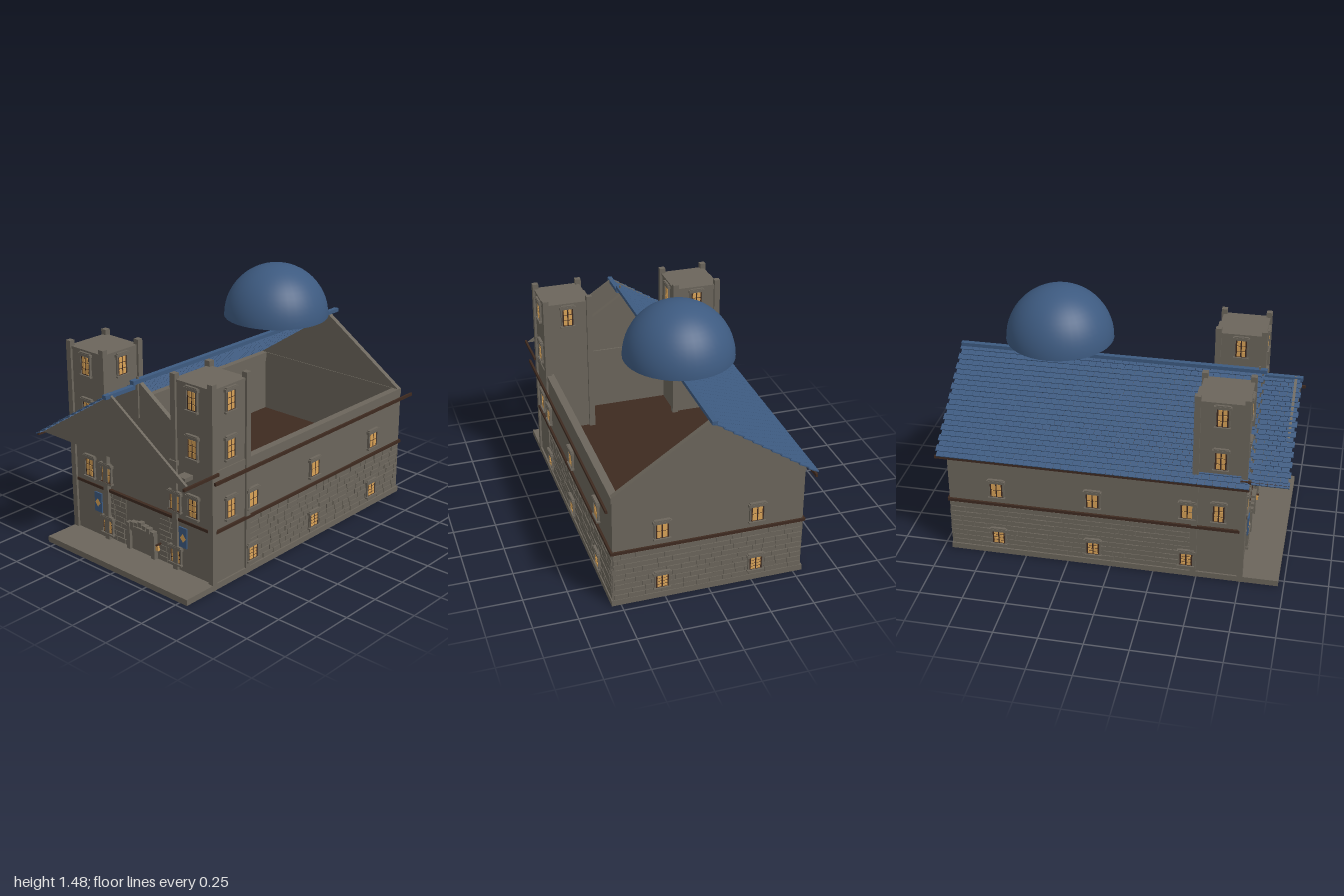
import * as THREE from 'three';
import { mergeGeometries } from 'three/addons/utils/BufferGeometryUtils.js';

const mat = (name, color) => {
  const m = new THREE.MeshStandardMaterial({ color });
  m.name = name;
  return m;
};

// box given by centre and size
const box = (x, y, z, w, h, d) => new THREE.BoxGeometry(w, h, d).translate(x, y, z);
// box given by its limits
const span = (x0, x1, y0, y1, z0, z1) =>
  box((x0 + x1) / 2, (y0 + y1) / 2, (z0 + z1) / 2, x1 - x0, y1 - y0, z1 - z0);

export function createModel() {
  const root = new THREE.Group();
  root.name = 'hall';
  const stone = mat('stone', 0x6b655b);
  const blue = mat('blueTile', 0x3d5a80);
  const wood = mat('darkWood', 0x3e2a20);
  const glow = mat('amberGlass', 0xd8a257);

  const add = (name, material, geos, parent = root) => {
    const mesh = new THREE.Mesh(geos.length > 1 ? mergeGeometries(geos) : geos[0], material);
    mesh.name = name;
    parent.add(mesh);
    return mesh;
  };

  let seed = 7;
  const rnd = () => (seed = (seed * 16807) % 2147483647) / 2147483647;

  // foundation, porch slab and upper floor
  add('foundation', stone, [
    span(-0.55, 0.55, 0.012, 0.03, -0.945, 0.75),
    span(-0.553, 0.553, 0, 0.035, 0.74, 0.968),
    span(-0.553, -0.52, 0, 0.035, -0.95, 0.74), span(0.52, 0.553, 0, 0.035, -0.95, 0.74),
    span(-0.52, 0.52, 0, 0.035, -0.95, -0.915),
  ]);
  add('upperFloor', wood, [span(-0.51, 0.51, 0.28, 0.3, -0.915, 0.705)]);

  // outer walls with a top plate
  add('walls', stone, [
    span(-0.543, -0.508, 0.03, 0.66, -0.945, 0.738), span(0.508, 0.543, 0.03, 0.66, -0.945, 0.738),
    span(-0.508, 0.508, 0.03, 0.69, -0.945, -0.91), span(-0.508, 0.508, 0.03, 0.69, 0.703, 0.738),
    span(-0.547, -0.503, 0.655, 0.69, -0.945, 0.738), span(0.503, 0.547, 0.655, 0.69, -0.945, 0.738),
  ]);

  // gables
  const gable = (name, half, y0, y1, z, depth) => {
    const s = new THREE.Shape([[-half, y0], [half, y0], [0, y1]].map(p => new THREE.Vector2(...p)));
    add(name, stone, [new THREE.ExtrudeGeometry(s, { depth, bevelEnabled: false }).translate(0, 0, z)]);
  };
  gable('backGable', 0.545, 0.688, 1.052, -0.945, 0.03);
  gable('frontGable', 0.545, 0.688, 1.052, 0.712, 0.026);
  gable('porchGable', 0.555, 0.69, 1.055, 0.95, 0.015);

  // rough stone courses on the lower storey
  const bricks = [];
  const course = (len, place) => {
    for (let r = 0; r < 9; r++) {
      const y = 0.052 + r * 0.0325;
      for (let a = -len / 2; a < len / 2 - 0.01;) {
        const w = Math.min(0.05 + rnd() * 0.05, len / 2 - a);
        const g = box(a + w / 2, y, 0, Math.max(w - 0.005, 0.005), 0.028, 0.006 + rnd() * 0.008);
        bricks.push(place(g));
        a += w;
      }
    }
  };
  for (const s of [1, -1]) course(1.4, g => g.rotateY(s * Math.PI / 2).translate(s * 0.543, 0, -0.24));
  course(1.08, g => g.translate(0, 0, -0.945));
  for (const s of [1, -1]) course(0.37, g => g.translate(s * 0.315, 0, 0.738));
  add('stoneCourses', stone, bricks);

  // timber belt between the storeys
  add('timberBelt', wood, [
    span(-0.556, -0.54, 0.333, 0.35, -0.953, 0.735), span(0.54, 0.556, 0.333, 0.35, -0.953, 0.735),
    span(-0.55, 0.55, 0.333, 0.35, -0.956, -0.94), span(-0.525, 0.525, 0.333, 0.35, 0.735, 0.757),
  ]);

  // corner towers
  for (const s of [1, -1]) {
    const geos = [box(s * 0.405, 0.588, 0.615, 0.272, 1.116, 0.272)];
    geos.push(box(s * 0.405, 1.142, 0.615, 0.28, 0.014, 0.28));
    for (const x of [0.272, 0.537]) for (const z of [0.48, 0.748])
      geos.push(box(s * x, 0.59, z, 0.035, 1.18, 0.034));
    geos.push(box(s * 0.272, 0.677, 0.75, 0.055, 0.026, 0.045));
    add(s > 0 ? 'leftTower' : 'rightTower', stone, geos);
  }

  // windows: frame, panes, lintel and sill
  const win = (x, y, z, ry, w = 0.056, h = 0.105, rows = 3) => {
    const g = new THREE.Group();
    g.name = 'window';
    add('frame', wood, [box(0, 0, 0, w + 0.012, h + 0.008, 0.012)], g);
    const panes = [], pw = w / 2, ph = h / rows;
    for (let i = 0; i < 2; i++) for (let j = 0; j < rows; j++)
      panes.push(box((i - 0.5) * pw, (j - (rows - 1) / 2) * ph, 0.007, pw - 0.008, ph - 0.005, 0.004));
    add('panes', glow, panes, g);
    add('surround', stone, [
      box(0, h / 2 + 0.011, 0.006, w + 0.042, 0.016, 0.022),
      box(0, h / 2 + 0.021, 0.006, w + 0.026, 0.01, 0.018),
      box(0, -h / 2 - 0.008, 0.006, w + 0.034, 0.01, 0.022),
      box(-w / 2 - 0.009, 0, 0.004, 0.008, h, 0.014), box(w / 2 + 0.009, 0, 0.004, 0.008, h, 0.014),
    ], g);
    g.position.set(x, y, z);
    g.rotation.y = ry;
    root.add(g);
  };
  const Q = Math.PI / 2;
  for (const s of [1, -1]) {
    for (const y of [1.06, 0.79, 0.445]) {
      win(s * 0.405, y, 0.753, 0);
      win(s * 0.542, y, 0.615, s * Q);
      if (y > 1) win(s * 0.405, y, 0.477, Math.PI);
      if (y > 0.5) win(s * 0.268, y, 0.615, -s * Q);
    }
    for (const z of [0.44, -0.1, -0.66]) {
      win(s * 0.547, 0.44, z, s * Q, 0.064, 0.088, 2);
      win(s * 0.549, 0.115, z, s * Q, 0.064, 0.078, 4);
    }
    win(s * 0.27, 0.44, -0.949, Math.PI, 0.064, 0.088, 2);
    win(s * 0.27, 0.115, -0.951, Math.PI, 0.064, 0.078, 4);
    win(s * 0.27, 0.44, 0.753, 0, 0.064, 0.088, 2);
    win(s * 0.27, 0.115, 0.753, 0, 0.064, 0.078, 3);
    add('windowLedge', wood, [box(s * 0.27, 0.388, 0.757, 0.085, 0.014, 0.02)]);
  }

  // doorway with stepped stones
  const door = [
    span(-0.082, 0.082, 0.035, 0.152, 0.735, 0.748),
    span(-0.11, -0.084, 0.035, 0.185, 0.735, 0.765), span(0.084, 0.11, 0.035, 0.185, 0.735, 0.765),
    span(-0.084, 0.084, 0.154, 0.185, 0.735, 0.76),
  ];
  for (let i = -3; i <= 3; i++)
    door.push(box(i * 0.032, 0.215 - Math.abs(i) * 0.008, 0.752, 0.026, 0.03 - (i % 2 ? 0.008 : 0), 0.034));
  add('doorway', stone, door);
  add('doorLamp', glow, [box(0.14, 0.12, 0.768, 0.02, 0.028, 0.014)]);
  add('lampBracket', wood, [box(0.14, 0.14, 0.76, 0.01, 0.008, 0.04)]);

  // wall hangings
  for (const s of [1, -1]) {
    add('banner', blue, [box(s * 0.335, 0.25, 0.764, 0.058, 0.12, 0.008)]);
    add('bannerDiamond', glow, [new THREE.CircleGeometry(0.026, 4).scale(0.85, 1, 1).translate(s * 0.337, 0.248, 0.769)]);
  }

  // tiled roof slope on one side only
  const slope = (name, xEave, yRidge, yEave, z0, z1, rows) => {
    const L = Math.hypot(xEave, yRidge - yEave), ang = Math.atan2(yRidge - yEave, xEave);
    const cols = Math.round((z1 - z0) / 0.042), cw = (z1 - z0) / cols, step = L / rows;
    const tiles = [];
    for (let r = 0; r < rows; r++) for (let c = 0; c < cols; c++) {
      const shift = r % 2 ? cw / 4 : -cw / 4, t = (r + 0.5) / rows;
      const z = THREE.MathUtils.clamp(z0 + (c + 0.5) * cw + shift, z0 + cw / 2, z1 - cw / 2);
      tiles.push(new THREE.BoxGeometry(step * 1.25, 0.006, cw - 0.002)
        .rotateZ(ang - 0.13 - rnd() * 0.06)
        .translate(-xEave * t, yRidge - (yRidge - yEave) * t, z));
    }
    add(name, blue, tiles);
  };
  slope('mainRoofTiles', 0.597, 1.065, 0.66, -0.998, 0.78, 22);
  slope('porchRoofTiles', 0.575, 1.045, 0.68, 0.775, 0.995, 22);

  // ridge caps, eave beams, porch brackets and finial
  add('ridgeCaps', blue, [box(0, 1.069, -0.1, 0.03, 0.022, 1.79), box(0, 1.042, 0.89, 0.028, 0.022, 0.215)]);
  const beams = [], brackets = [];
  for (const s of [1, -1]) {
    beams.push(box(s * 0.586, 0.647, -0.11, 0.012, 0.018, 1.78), box(s * 0.564, 0.681, 0.86, 0.012, 0.016, 0.265));
    for (const x of [0.27, 0.455]) brackets.push(box(s * x, 0.679, 0.87, 0.062, 0.024, 0.062));
  }
  add('eaveBeams', wood, beams);
  add('porchBrackets', stone, brackets);
  add('finial', stone, [box(0, 0.975, 0.752, 0.01, 0.24, 0.01), box(0, 1.066, 0.752, 0.026, 0.026, 0.026)]);

  // dome with a closed underside
  add('dome', blue, [
    new THREE.SphereGeometry(0.31, 40, 14, 0, Math.PI * 2, 0, Math.PI / 2).translate(0, 1.174, -0.4),
    new THREE.CircleGeometry(0.31, 40).rotateX(Math.PI / 2).translate(0, 1.174, -0.4),
  ]);
  return root;
}
